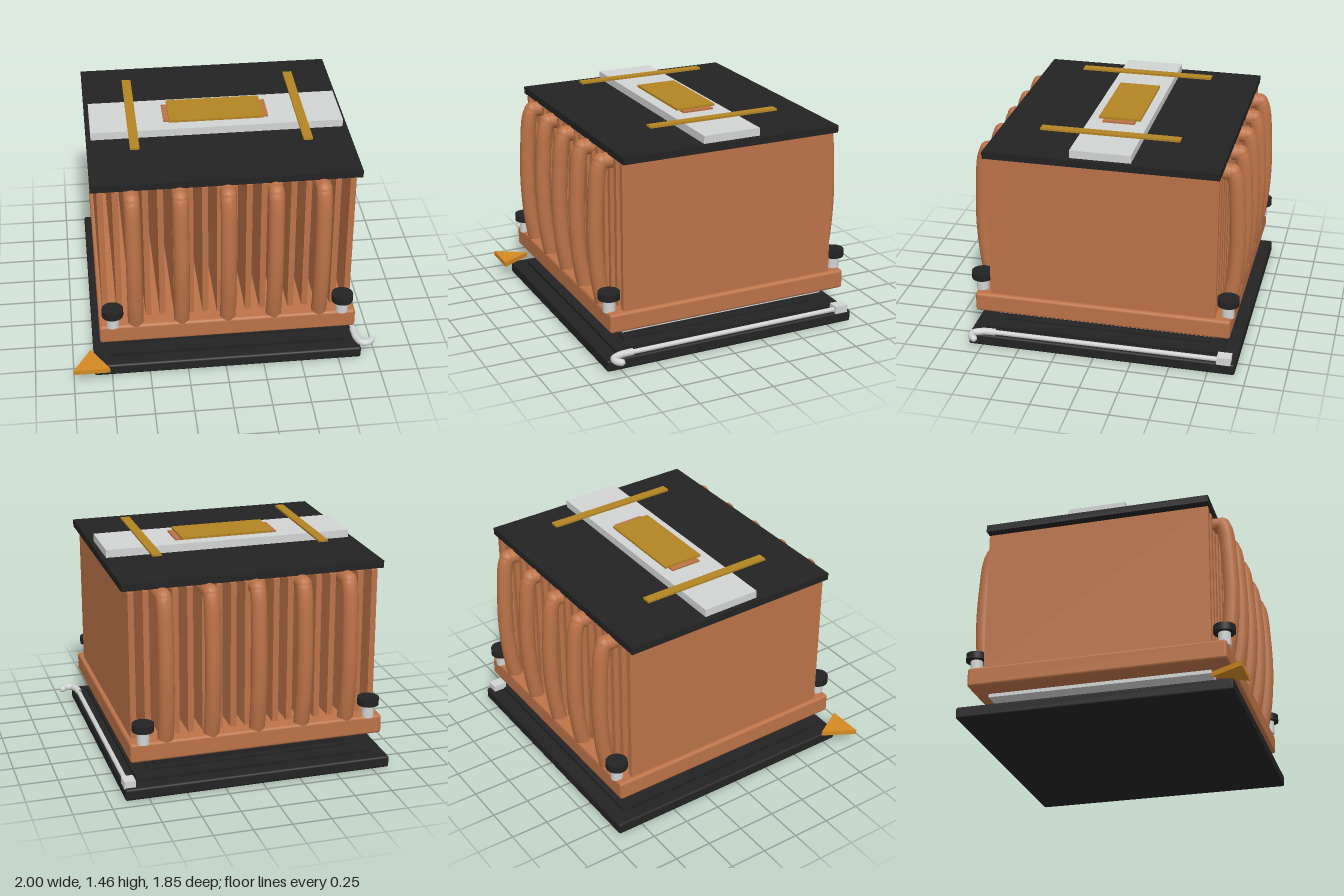
import * as THREE from 'three';
import { RoundedBoxGeometry } from 'three/addons/geometries/RoundedBoxGeometry.js';

const mat = (name, color) => Object.assign(new THREE.MeshStandardMaterial({ color }), { name });

export function createModel() {
  const copper = mat('copper', 0xbc7348);
  const black = mat('black', 0x232323);
  const silver = mat('silver', 0xd2d3d3);
  const brass = mat('brass', 0xb38423);
  const amber = mat('amber', 0xd38a23);

  const model = new THREE.Group();
  model.name = 'towerCooler';
  const body = new THREE.Group();
  body.name = 'coolerAndSocket';
  body.position.set(0.018, 0, -0.042);
  model.add(body);

  const add = (name, geometry, material, x = 0, y = 0, z = 0) => {
    const mesh = new THREE.Mesh(geometry, material);
    mesh.name = name;
    mesh.position.set(x, y, z);
    body.add(mesh);
    return mesh;
  };
  // Box given by its width, depth, bottom and top
  const slab = (name, material, w, d, y0, y1, x = 0, z = 0) =>
    add(name, new THREE.BoxGeometry(w, y1 - y0, d), material, x, (y0 + y1) / 2, z);

  // Socket: stepped black frame
  add('socketBase', new RoundedBoxGeometry(1.765, 0.078, 1.765, 2, 0.014), black, 0, 0.039, 0);
  slab('socketStep', black, 1.58, 1.58, 0.075, 0.1);
  slab('socketRim', black, 1.38, 1.38, 0.1, 0.115);
  slab('socketBed', black, 1.285, 1.3, 0.115, 0.143);

  // Small lugs around the edge of the bed
  for (let i = -3; i <= 3; i++) {
    for (const s of [-1, 1]) {
      slab('frontLug', black, 0.055, 0.05, 0.143, 0.153, i * 0.153, s * 0.61);
      slab('sideLug', black, 0.05, 0.035, 0.143, 0.153, s * 0.6, i * 0.137);
    }
  }

  // Processor lid
  slab('lidFoot', silver, 1.12, 1.1, 0.143, 0.183);
  slab('lidPlate', silver, 1.49, 1.44, 0.183, 0.206);
  slab('lidTop', silver, 0.99, 0.98, 0.206, 0.233);

  // Corner markers: triangles pointing to the back
  const marker = (name, x, z, w, d, y, h) => {
    const shape = new THREE.Shape([
      new THREE.Vector2(-w / 2, -d / 2), new THREE.Vector2(w / 2, -d / 2), new THREE.Vector2(0, d / 2),
    ]);
    const geo = new THREE.ExtrudeGeometry(shape, { depth: h, bevelEnabled: false }).rotateX(-Math.PI / 2);
    add(name, geo, amber, x, y, z);
  };
  marker('outerMarker', -0.9, 0.857, 0.237, 0.207, 0.087, 0.033);
  marker('innerMarker', -0.578, 0.553, 0.16, 0.14, 0.15, 0.018);

  // Locking lever with bent handle
  const leverPath = new THREE.CurvePath();
  const v = (x, y, z) => new THREE.Vector3(x, y, z);
  leverPath.add(new THREE.LineCurve3(v(0.858, 0.095, -0.8), v(0.858, 0.095, 0.72)));
  add('leverRod', new THREE.TubeGeometry(leverPath, 4, 0.016, 10), silver);
  const hook = new THREE.CatmullRomCurve3([
    v(0.858, 0.097, 0.7), v(0.865, 0.096, 0.79), v(0.892, 0.094, 0.843),
    v(0.93, 0.093, 0.845), v(0.963, 0.093, 0.82),
  ]);
  add('leverHandle', new THREE.TubeGeometry(hook, 24, 0.023, 12), silver);
  add('handleTip', new THREE.SphereGeometry(0.023, 12, 8), silver, 0.959, 0.093, 0.82);
  slab('leverHinge', silver, 0.075, 0.09, 0.07, 0.122, 0.847, -0.81);

  // Copper base plate
  add('basePlate', new RoundedBoxGeometry(1.673, 0.128, 1.676, 2, 0.018), copper, 0, 0.296, 0);

  // Fins
  for (let i = 0; i < 18; i++) {
    slab('fin', copper, 0.038, 1.477, 0.358, 1.32, (i - 8.5) * 0.0931);
  }

  // Bowed heat pipes, front and back
  const pipe = new THREE.CatmullRomCurve3([
    [1.288, 0.6], [1.288, 0.74], [1.283, 0.785], [1.235, 0.807], [1.0, 0.828],
    [0.78, 0.834], [0.55, 0.82], [0.4, 0.797], [0.3, 0.775],
  ].map(([y, z]) => v(0, y, z)));
  const pipeGeo = new THREE.TubeGeometry(pipe, 48, 0.051, 16);
  for (let i = -2; i <= 2; i++) {
    for (const side of [0, Math.PI]) {
      add('heatPipe', pipeGeo, copper, i * 0.2995).rotation.y = side;
      add('pipeElbow', new THREE.SphereGeometry(0.0515, 16, 10), copper, i * 0.2995, 1.288, side ? -0.787 : 0.787);
    }
  }

  // Corner screws
  for (const sx of [-1, 1]) {
    for (const sz of [-1, 1]) {
      add('screwPost', new THREE.CylinderGeometry(0.04, 0.04, 0.09, 20), silver, sx * 0.748, 0.395, sz * 0.81);
      add('screwCap', new THREE.CylinderGeometry(0.07, 0.07, 0.048, 24), black, sx * 0.748, 0.462, sz * 0.81);
    }
  }

  // Top cover and its trim
  slab('topCover', black, 1.7, 1.494, 1.332, 1.379);
  slab('silverBar', silver, 1.64, 0.387, 1.379, 1.43);
  slab('copperBadge', copper, 0.685, 0.21, 1.43, 1.441, 0, -0.005);
  slab('brassBadge', brass, 0.615, 0.272, 1.441, 1.455, 0, -0.005);
  for (const s of [-1, 1]) slab('brassStrip', brass, 0.06, 0.895, 1.442, 1.455, s * 0.55, -0.003);

  return model;
}
